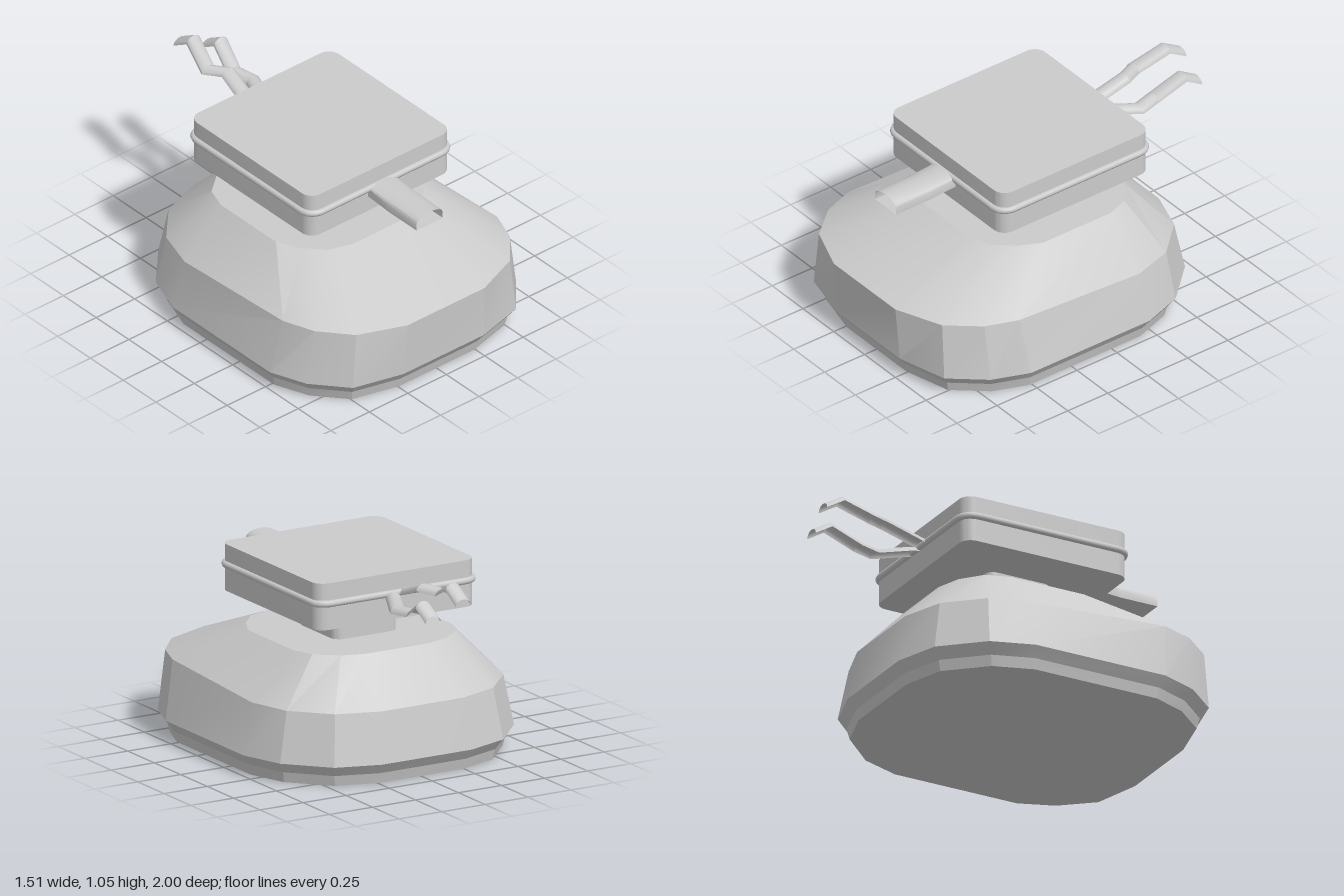
import * as THREE from 'three';
import { toCreasedNormals } from 'three/addons/utils/BufferGeometryUtils.js';

const grey = new THREE.MeshStandardMaterial({ color: 0xcccccc });
const greyThin = new THREE.MeshStandardMaterial({ color: 0xcccccc, side: THREE.DoubleSide });

function mesh(name, geometry, material = grey) {
  const m = new THREE.Mesh(geometry, material);
  m.name = name;
  return m;
}

// Skin a list of rings, each an equal number of [x, y, z] points
function loft(rings, { closed = true, capStart = false, capEnd = false, crease = 0.35 } = {}) {
  const n = rings[0].length;
  const pos = rings.flat(2);
  const index = [];
  for (let i = 0; i < rings.length - 1; i++) {
    for (let j = 0; j < (closed ? n : n - 1); j++) {
      const k = (j + 1) % n;
      const a = i * n + j, b = i * n + k, c = a + n, d = b + n;
      index.push(a, b, d, a, d, c);
    }
  }
  const last = (rings.length - 1) * n;
  for (let j = 1; j < n - 1; j++) {
    if (capStart) index.push(0, j + 1, j);
    if (capEnd) index.push(last, last + j, last + j + 1);
  }
  const g = new THREE.BufferGeometry();
  g.setAttribute('position', new THREE.Float32BufferAttribute(pos, 3));
  g.setIndex(index);
  return toCreasedNormals(g, crease);
}

// Rounded rectangle centred on the origin
function roundedRect(w, d, r) {
  const x = w / 2, y = d / 2, s = new THREE.Shape();
  s.absarc(x - r, y - r, r, 0, Math.PI / 2);
  s.absarc(-x + r, y - r, r, Math.PI / 2, Math.PI);
  s.absarc(-x + r, -y + r, r, Math.PI, Math.PI * 1.5);
  s.absarc(x - r, -y + r, r, Math.PI * 1.5, Math.PI * 2);
  s.closePath();
  return s;
}

function roundedSlab(name, w, d, r, y0, y1, x, z) {
  const g = new THREE.ExtrudeGeometry(roundedRect(w, d, r), { depth: y1 - y0, bevelEnabled: false, curveSegments: 5 });
  g.rotateX(-Math.PI / 2).translate(x, y0, z);
  return mesh(name, toCreasedNormals(g, 0.6));
}

// Mirror a half outline of [x, y, z] points, front to back, into a full ring
function mirrorRing(half) {
  return [...half, ...half.slice().reverse().map(([x, y, z]) => [-x, y, z])];
}

function makeBase() {
  const wide = [[0.26, 0.98], [0.53, 0.91], [0.68, 0.735], [0.755, 0.54],
    [0.755, -0.2], [0.68, -0.42], [0.49, -0.625], [0.26, -0.7]];
  const shoulder = [[0.25, 1.0], [0.5, 0.9], [0.635, 0.74], [0.697, 0.57],
    [0.697, -0.18], [0.63, -0.4], [0.46, -0.58], [0.24, -0.655]];
  const top = [[0.18, 0.5], [0.31, 0.46], [0.4, 0.36], [0.46, 0.24],
    [0.46, -0.18], [0.42, -0.3], [0.31, -0.39], [0.18, -0.43]];
  const at = (pts, y, s = 1) => mirrorRing(pts.map(([x, z]) => [x * s, y, 0.14 + (z - 0.14) * s]));
  const shoulderRing = mirrorRing(shoulder.map(([x, z], i) => [x, i < 4 ? 0.41 : 0.37, z]));
  return mesh('base', loft(
    [at(wide, 0, 0.935), at(wide, 0.055, 0.952), at(wide, 0.11), shoulderRing, at(top, 0.605)],
    { capStart: true, capEnd: true }));
}

// Round cord that runs around the middle of the cap
function makeBand() {
  const pts = roundedRect(0.925, 0.935, 0.07).getSpacedPoints(96).slice(0, -1);
  const curve = new THREE.CatmullRomCurve3(pts.map(p => new THREE.Vector3(p.x + 0.003, 0.895, p.y + 0.034)), true);
  return mesh('band', new THREE.TubeGeometry(curve, 160, 0.018, 8, true));
}

// Hollow spout: boxy at the cap, arched roof toward the open mouth
function makeSpout() {
  const ring = (z, halfTop, side, bottom) => {
    const pts = [[-0.083, bottom], [0.087, bottom]];
    for (let i = 0; i <= 8; i++) {
      const a = Math.PI * i / 8;
      const flat = Math.max(-1, Math.min(1, Math.cos(a) * halfTop));
      pts.push([0.002 + 0.085 * flat, side + (0.912 - side) * Math.sin(a)]);
    }
    return pts.map(([x, y]) => [x, y, z]);
  };
  return mesh('spout', loft([ring(0.47, 1, 0.9, 0.85), ring(0.66, 1, 0.88, 0.837), ring(0.87, 1, 0.875, 0.837)],
    { crease: 0.6 }), greyThin);
}

// Thin strap with an arched section following [x, y, z] centre points
function makeStrap(name, path) {
  const rings = path.map(([x, y, z], i) => {
    const half = i === 0 ? 0.036 : 0.044;
    return Array.from({ length: 9 }, (_, j) => {
      const a = Math.PI * j / 8;
      return [x + half * Math.cos(a), y - 0.018 + 0.034 * Math.sin(a), z];
    });
  });
  return mesh(name, loft(rings, { closed: false, crease: 0.5 }), greyThin);
}

export function createModel() {
  const group = new THREE.Group();
  group.add(makeBase());
  group.add(roundedSlab('neck', 0.37, 0.365, 0.05, 0.6, 0.77, 0.002, 0.038));
  group.add(roundedSlab('cap', 0.922, 0.93, 0.065, 0.76, 1.0, 0.004, 0.034));
  group.add(makeBand(), makeSpout());
  group.add(makeStrap('rightStrap', [[-0.04, 0.9, -0.42], [-0.04, 0.91, -0.47], [-0.02, 0.972, -0.64],
    [-0.07, 0.96, -0.735], [-0.028, 1.035, -0.9], [-0.028, 0.975, -1.0]]));
  group.add(makeStrap('leftStrap', [[0.035, 0.895, -0.42], [0.05, 0.89, -0.47], [0.12, 0.872, -0.62],
    [0.095, 0.877, -0.73], [0.132, 0.962, -0.88], [0.132, 0.905, -0.975]]));
  return group;
}
